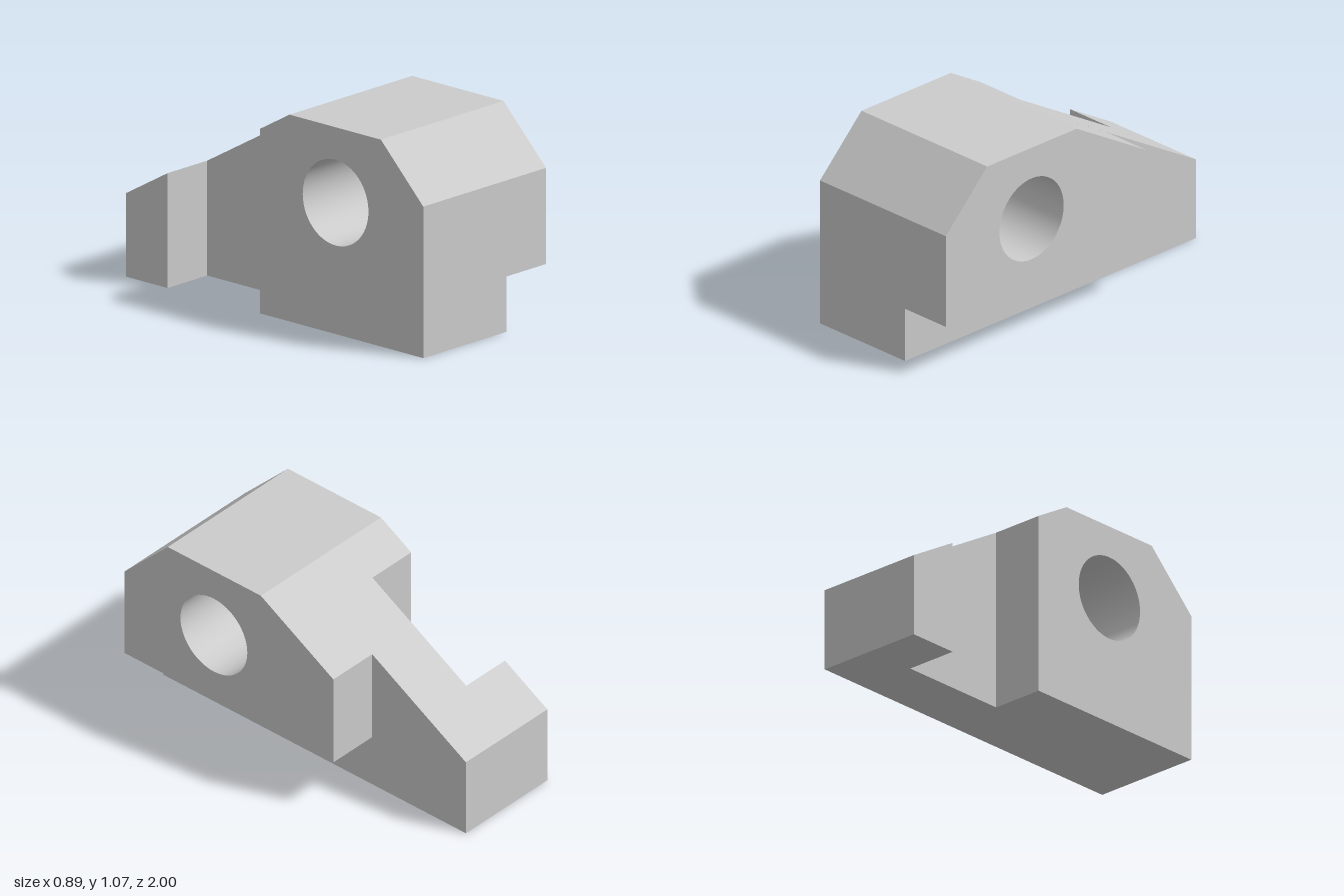
import * as THREE from 'three';

const OUT = 0.443, IN = 0.157;               // outer and inner slab limits in x
const SLOPE = z => 0.43 + 0.577 * (z + 1);   // rear ramp height
const HOLE = { z: 0.41, y: 0.677, r: 0.221 };

// Side profile, as [z, y] points, cut between two z values
function bodyProfile(zBack, base = 0) {
  return [[1, base], [1, 0.78], [0.715, 1.065], [0.1, 1.065], [zBack, SLOPE(zBack)], [zBack, base]];
}
const rampProfile = (z0, z1) => [[z1, 0], [z1, SLOPE(z1)], [z0, SLOPE(z0)], [z0, 0]];

const outline = (points, dir = 1) =>
  new THREE.Shape(points.map(([z, y]) => new THREE.Vector2(-dir * z, y)));

export function createModel() {
  const group = new THREE.Group();
  const material = new THREE.MeshStandardMaterial({ color: 0xcccccc });

  const add = (name, geometry, mat = material) => {
    const mesh = new THREE.Mesh(geometry, mat);
    mesh.name = name;
    group.add(mesh);
    return mesh;
  };

  // Outer rim of a slab, without its end faces
  const rim = (name, points, x0, x1) => {
    const geometry = new THREE.ExtrudeGeometry(outline(points), { depth: x1 - x0, bevelEnabled: false });
    const { start, count } = geometry.groups[1];
    geometry.clearGroups();
    for (const key of ['position', 'normal', 'uv']) {
      const { array, itemSize } = geometry.attributes[key];
      geometry.setAttribute(key, new THREE.BufferAttribute(
        array.slice(start * itemSize, (start + count) * itemSize), itemSize));
    }
    add(name, geometry.translate(0, 0, x0).rotateY(Math.PI / 2));
  };

  // Flat side face at x, facing +x (dir 1) or -x (dir -1)
  const face = (name, points, x, dir, bored = false) => {
    const shape = outline(points, dir);
    if (bored) {
      const hole = new THREE.Path();
      hole.absarc(-dir * HOLE.z, HOLE.y, HOLE.r, 0, Math.PI * 2, true);
      shape.holes.push(hole);
    }
    add(name, new THREE.ShapeGeometry(shape, 32).rotateY(dir * Math.PI / 2).translate(x, 0, 0));
  };

  // Right slab: main block and rear foot, with the open slot between them
  const rightBlock = bodyProfile(-0.1);
  const rearFoot = rampProfile(-1, -0.72);
  rim('rightBlockRim', rightBlock, -OUT, -IN);
  rim('rearFootRim', rearFoot, -OUT, -IN);
  face('rightBlockFace', rightBlock, -OUT, -1, true);
  face('rearFootFace', rearFoot, -OUT, -1);
  face('slotFace', rampProfile(-0.72, -0.1), -IN, -1);

  // Centre slab, running the whole length
  rim('centreRim', bodyProfile(-1), -IN, IN);
  face('centreLeftFace', [[1, 0], [1, 0.285], [-0.38, 0.285], [-0.38, SLOPE(-0.38)],
    [-1, SLOPE(-1)], [-1, 0]], IN, 1);

  // Left slab, raised above the base
  const leftBlock = bodyProfile(-0.38, 0.285);
  rim('leftBlockRim', leftBlock, IN, OUT);
  face('leftBlockFace', leftBlock, OUT, 1, true);

  // Smooth lining of the cross bore
  const lining = material.clone();
  lining.side = THREE.DoubleSide;
  add('boreLining', new THREE.CylinderGeometry(HOLE.r, HOLE.r, OUT * 2, 64, 1, true)
    .rotateZ(Math.PI / 2).translate(0, HOLE.y, HOLE.z), lining);

  return group;
}
